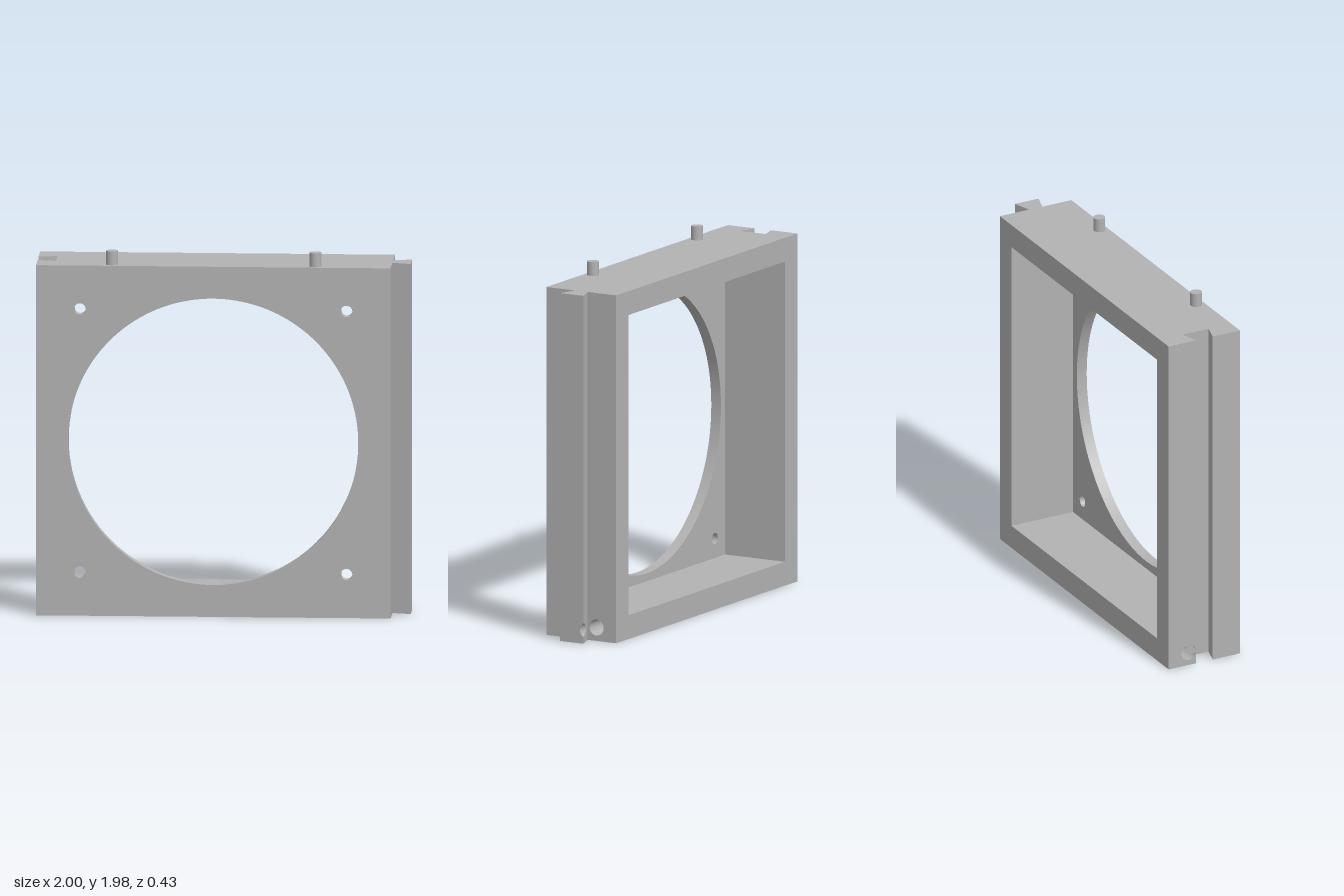
import * as THREE from 'three';
import { toCreasedNormals } from 'three/addons/utils/BufferGeometryUtils.js';

const L = -1, R = 0.9, CX = -0.05, CY = 0.95, H = 1.9;   // body extents and centre
const ZF = 0.217, ZB = -0.217, PLATE = 0.157;            // front, back, inner face of the plate
const WALL = 0.13, SPLIT = 0.1;                          // wall thickness, seam inside the bottom bar
const CH = { z: -0.095, y: 0.073, r: 0.044 };            // channel along the bottom bar
const PIN_X = [-0.595, 0.495], PIN_Z = 0.168;

const polygon = (pts) => new THREE.Shape(pts.map(([a, b]) => new THREE.Vector2(a, b)));
const rect = (a0, b0, a1, b1) => polygon([[a0, b0], [a1, b0], [a1, b1], [a0, b1]]);

function drill(shape, x, y, r) {
  shape.holes.push(new THREE.Path().absarc(x, y, r, 0, Math.PI * 2, true));
  return shape;
}

function extrude(shape, depth, curveSegments = 40) {
  const geo = new THREE.ExtrudeGeometry(shape, { depth, bevelEnabled: false, curveSegments });
  return toCreasedNormals(geo, 0.5);
}

// Upright prism; the plan is drawn in (x, -z)
const upright = (shape, y0, y1) => extrude(shape, y1 - y0).rotateX(-Math.PI / 2).translate(0, y0, 0);

// Solid through matching outlines drawn in (-z, y), each at its own x
function loft(sections) {
  const pos = [];
  const put = (s, i) => {
    const p = s.pts[i % s.pts.length];
    pos.push(s.x, p.y, -p.x);
  };
  for (let k = 0; k + 1 < sections.length; k++) {
    const a = sections[k], b = sections[k + 1];
    for (let i = 0; i < a.pts.length; i++) {
      put(a, i); put(a, i + 1); put(b, i + 1);
      put(a, i); put(b, i + 1); put(b, i);
    }
  }
  const first = sections[0], last = sections[sections.length - 1];
  for (const f of THREE.ShapeUtils.triangulateShape(first.pts.slice(), [])) [f[2], f[1], f[0]].forEach((i) => put(first, i));
  for (const f of THREE.ShapeUtils.triangulateShape(last.pts.slice(), [])) f.forEach((i) => put(last, i));
  const geo = new THREE.BufferGeometry();
  geo.setAttribute('position', new THREE.Float32BufferAttribute(pos, 3));
  geo.computeVertexNormals();
  return geo;
}

// Arc of the channel outline, kept on one side of a = w
function channelArc(t0, t1, limit = Infinity) {
  const pts = [];
  for (let i = 0; i <= 28; i++) {
    const t = t0 + (t1 - t0) * i / 28;
    pts.push(new THREE.Vector2(Math.min(-CH.z + CH.r * Math.cos(t), limit), CH.y + CH.r * Math.sin(t)));
  }
  return pts;
}
const v = (a, b) => new THREE.Vector2(a, b);
const steps = (n, fn) => Array.from({ length: n + 1 }, (_, i) => fn(i / n));

export function createModel() {
  const group = new THREE.Group();
  const grey = new THREE.MeshStandardMaterial({ color: 0xb2b2b2 });
  grey.name = 'grey plastic';
  const add = (name, geo) => {
    const mesh = new THREE.Mesh(geo, grey);
    mesh.name = name;
    group.add(mesh);
  };
  const box = (name, x0, x1, y0, y1, z0, z1) => add(name,
    new THREE.BoxGeometry(x1 - x0, y1 - y0, z1 - z0).translate((x0 + x1) / 2, (y0 + y1) / 2, (z0 + z1) / 2));

  // Front plate with the large opening and four screw holes
  const plate = drill(rect(L, WALL, R, H), CX, CY, 0.777);
  for (const sx of [-1, 1]) for (const sy of [-1, 1]) drill(plate, CX + sx * 0.714, CY + sy * 0.714, 0.031);
  add('frontPlate', extrude(plate, ZF - PLATE, 80).translate(0, 0, PLATE));

  // Frame walls behind the plate
  box('topWall', L + WALL, R - WALL, H - WALL, H, ZB, PLATE);
  box('leftWall', R - WALL, R, WALL, H, ZB, PLATE);
  add('groovedRightWall', upright(polygon([
    [L, -PLATE], [L + WALL, -PLATE], [L + WALL, -ZB], [L, -ZB],
    [L, 0.051], [L + 0.1, 0.079], [L + 0.1, -0.079], [L, -0.051],
  ]), WALL, H));

  // Dovetail tongue, its foot notched by the channel
  add('tongue', upright(polygon([[R, -0.04], [1, -0.072], [1, 0.072], [R, 0.04]]), WALL, H));
  add('tongueFoot', loft(steps(12, (t) => {
    const w = 0.04 + 0.032 * t;
    const a = Math.acos(Math.max(-1, (w + CH.z) / CH.r));
    return {
      x: R + 0.1 * t,
      pts: [v(-w, 0), v(w, 0), ...channelArc(-a, a - 2 * Math.PI, w), v(w, WALL), v(-w, WALL)],
    };
  })));

  // Bottom bar: core with the channel running through it
  const core = drill(rect(-SPLIT, 0, -ZB, WALL), -CH.z, CH.y, CH.r);
  add('bottomBarCore', extrude(core, R - L - 0.1).rotateY(Math.PI / 2).translate(L + 0.1, 0, 0));

  // Bottom bar: front strip with sockets for the pins
  const strip = rect(L, -ZF, R, -SPLIT);
  for (const x of PIN_X) drill(strip, x, -PIN_Z, 0.034);
  add('socketStrip', upright(strip, 0, 0.09));
  box('socketCover', L, R, 0.09, WALL, SPLIT, ZF);

  // Groove lips at the end of the bottom bar
  add('frontGrooveLip', upright(polygon([
    [L, -SPLIT], [L + 0.1, -SPLIT], [L + 0.1, -0.079], [L, -0.051],
  ]), 0, WALL));
  add('backGrooveLip', loft(steps(10, (t) => {
    const w = 0.051 + 0.028 * t;
    const a = Math.acos(Math.max(-0.98, (w + CH.z) / CH.r));
    return {
      x: L + 0.1 * t,
      pts: [v(w, 0), v(-ZB, 0), v(-ZB, WALL), v(w, WALL), ...channelArc(a, -a)],
    };
  })));

  // Alignment pins on top
  for (const x of PIN_X) {
    add('alignmentPin', new THREE.CylinderGeometry(0.032, 0.032, 0.09, 32).translate(x, 1.93, PIN_Z));
  }
  return group;
}
